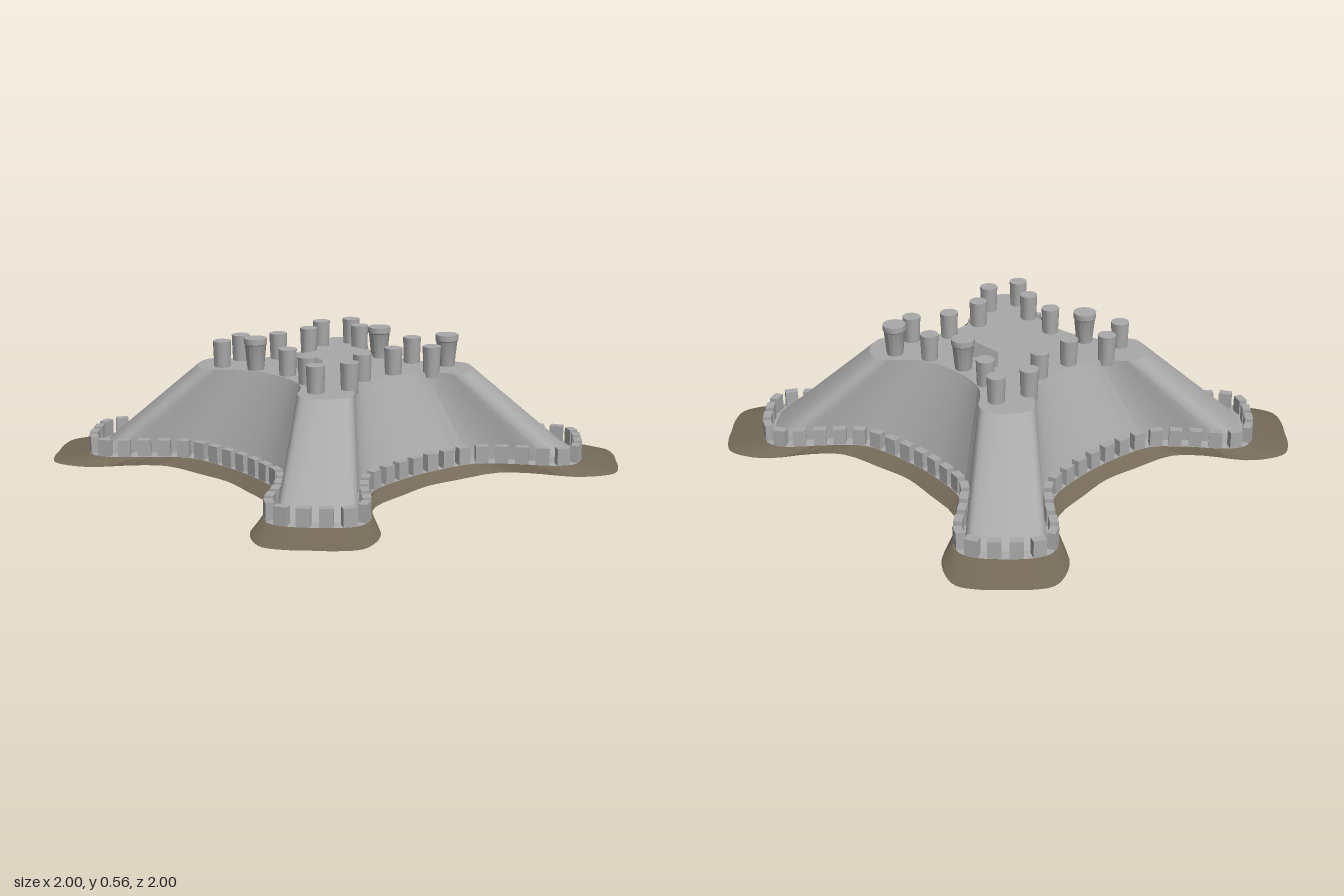
import * as THREE from 'three';
import { toCreasedNormals } from 'three/addons/utils/BufferGeometryUtils.js';

const DECK_Y = 0.415;

// One eighth of each outline (x, z), from the middle of the front to the diagonal
const OUTER = [[0, 0.6], [0.16, 0.622], [0.36, 0.663], [0.46, 0.76], [0.56, 0.915], [0.65, 0.98], [0.735, 1.0], [0.82, 0.95], [0.885, 0.885]];
const BASE = [[0, 0.52], [0.15, 0.53], [0.31, 0.565], [0.43, 0.675], [0.54, 0.81], [0.58, 0.84], [0.62, 0.852], [0.68, 0.83], [0.76, 0.76]];
const TOP = [[0, 0.313], [0.11, 0.325], [0.2, 0.362], [0.265, 0.425], [0.29, 0.455], [0.315, 0.47], [0.34, 0.477], [0.39, 0.46], [0.43, 0.43]];

// Mirror across the diagonal, then turn four times to close the star outline
function outline(eighth) {
  const mirrored = eighth.slice(1, -1).reverse().map(([x, z]) => [z, x]);
  let quarter = [...eighth, ...mirrored];
  const points = [];
  for (let q = 0; q < 4; q++) {
    points.push(...quarter.map(([x, z]) => new THREE.Vector3(x, 0, z)));
    quarter = quarter.map(([x, z]) => [z, -x]);
  }
  return new THREE.CatmullRomCurve3(points, true, 'centripetal');
}

// Sample a closed outline at height y, pushed outward by offset
function ring(curve, y, offset = 0, n = 192) {
  const points = [];
  for (let i = 0; i < n; i++) {
    const p = curve.getPoint(i / n);
    const t = curve.getTangent(i / n);
    points.push(new THREE.Vector3(p.x - t.z * offset, y, p.z + t.x * offset));
  }
  return points;
}

// Band of faces between two rings
function band(lower, upper) {
  const n = lower.length;
  const positions = [...lower, ...upper].flatMap((p) => [p.x, p.y, p.z]);
  const index = [];
  for (let i = 0; i < n; i++) {
    const j = (i + 1) % n;
    index.push(i, j, n + j, i, n + j, n + i);
  }
  const g = new THREE.BufferGeometry();
  g.setAttribute('position', new THREE.Float32BufferAttribute(positions, 3));
  g.setIndex(index);
  return toCreasedNormals(g, 0.3);
}

export function createModel() {
  const model = new THREE.Group();
  model.name = 'starFort';
  const stone = new THREE.MeshStandardMaterial({ color: 0xa9a9a9, side: THREE.DoubleSide });
  stone.name = 'grey stone';
  const earth = new THREE.MeshStandardMaterial({ color: 0x756a58, side: THREE.DoubleSide });
  earth.name = 'brown earth';

  function add(name, geometry, material, parent = model) {
    const mesh = new THREE.Mesh(geometry, material);
    mesh.name = name;
    parent.add(mesh);
    return mesh;
  }

  const outer = outline(OUTER);
  const base = outline(BASE);
  const top = outline(TOP);

  // Earth skirt, walkway and sloping walls, open underneath
  const rim = ring(base, 0.035, 0.02);
  const foot = ring(base, 0.04, -0.03);
  const crown = ring(top, DECK_Y);
  add('earthSkirt', band(ring(outer, 0), rim), earth);
  add('walkway', band(rim, foot), stone);
  add('slopingWalls', band(foot, crown), stone);

  // Flat deck
  const deckShape = new THREE.Shape(crown.map((p) => new THREE.Vector2(p.x, -p.z)));
  const deck = add('deck', new THREE.ShapeGeometry(deckShape).rotateX(-Math.PI / 2), stone);
  deck.position.y = DECK_Y;

  // Parapet blocks spaced evenly around the walkway
  const parapet = new THREE.Group();
  parapet.name = 'parapet';
  model.add(parapet);
  const block = new THREE.BoxGeometry(0.056, 0.095, 0.036);
  const count = 84;
  for (let i = 0; i < count; i++) {
    const p = base.getPointAt(i / count);
    const t = base.getTangentAt(i / count);
    const mesh = add('parapetBlock', block, stone, parapet);
    mesh.position.set(p.x, 0.0625, p.z);
    mesh.rotation.y = Math.atan2(-t.z, t.x);
  }

  // Bevelled central platform
  const platform = new THREE.BoxGeometry(0.33, 0.07, 0.214).toNonIndexed();
  const pos = platform.attributes.position;
  for (let i = 0; i < pos.count; i++) {
    if (pos.getY(i) > 0) pos.setXYZ(i, pos.getX(i) * 0.84, pos.getY(i), pos.getZ(i) * 0.75);
  }
  platform.computeVertexNormals();
  add('centralPlatform', platform, stone).position.y = 0.44;

  // Turrets: short ones around the deck and three taller flared ones
  const shortTurret = toCreasedNormals(new THREE.CylinderGeometry(0.04, 0.035, 0.135, 14), 0.6);
  const tallTurret = toCreasedNormals(new THREE.LatheGeometry(
    [[0, 0], [0.034, 0], [0.047, 0.13], [0.051, 0.135], [0.051, 0.16], [0, 0.16]].map(([r, y]) => new THREE.Vector2(r, y)), 14), 0.6);
  const turrets = new THREE.Group();
  turrets.name = 'turrets';
  model.add(turrets);
  const tall = [[0.38, 0.318], [0.268, 0], [-0.305, -0.175]];
  const isTall = (x, z) => tall.some(([a, b]) => a === x && b === z);
  const spots = [[0.268, 0], [-0.268, 0]];
  for (const [x, z] of [[0.38, 0.318], [0.238, 0.368], [0.09, 0.283], [0.305, 0.175]]) {
    spots.push([x, z], [-x, z], [x, -z], [-x, -z]);
  }
  for (const [x, z] of spots) {
    if (isTall(x, z)) add('tallTurret', tallTurret, stone, turrets).position.set(x, 0.395, z);
    else add('shortTurret', shortTurret, stone, turrets).position.set(x, 0.4625, z);
  }

  return model;
}
